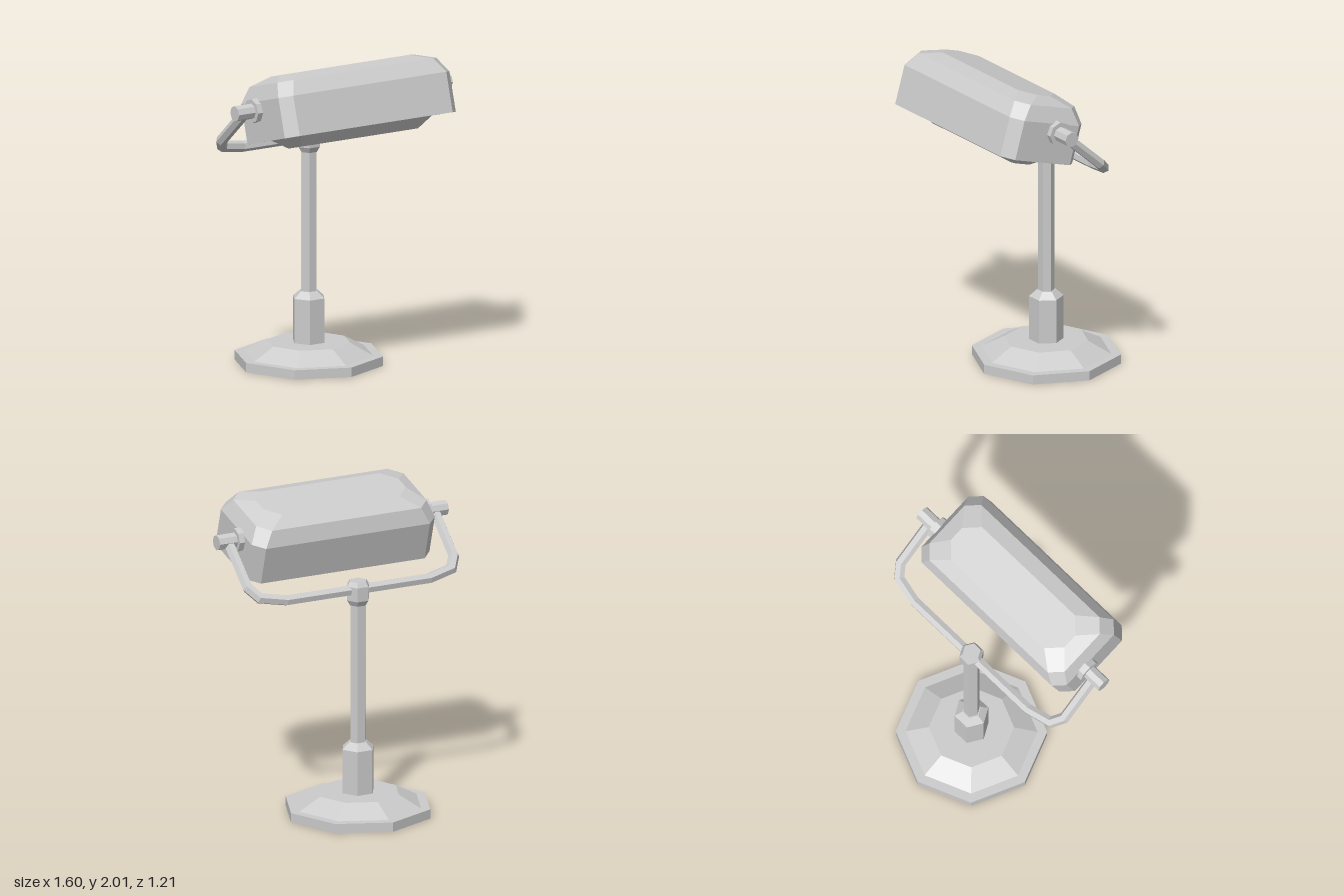
import * as THREE from 'three';

const material = new THREE.MeshStandardMaterial({ color: 0xcccccc, flatShading: true });

function add(parent, name, geometry) {
  const mesh = new THREE.Mesh(geometry, material);
  mesh.name = name;
  parent.add(mesh);
  return mesh;
}

// Skins a row of rings (counter-clockwise seen from the end of the row) and closes the chosen ends
function loft(rings, capStart, capEnd) {
  const pos = [];
  const tri = (...pts) => pts.forEach(p => pos.push(p.x, p.y, p.z));
  const n = rings[0].length;
  for (let k = 0; k < rings.length - 1; k++) {
    const lo = rings[k], hi = rings[k + 1];
    for (let i = 0; i < n; i++) {
      const j = (i + 1) % n;
      tri(lo[i], lo[j], hi[j]);
      tri(lo[i], hi[j], hi[i]);
    }
  }
  const first = rings[0], last = rings[rings.length - 1];
  for (let i = 1; i < n - 1; i++) {
    if (capStart) tri(first[0], first[i + 1], first[i]);
    if (capEnd) tri(last[0], last[i], last[i + 1]);
  }
  const g = new THREE.BufferGeometry();
  g.setAttribute('position', new THREE.Float32BufferAttribute(pos, 3));
  g.computeVertexNormals();
  return g;
}

// Horizontal rectangle with cut corners
function cutRect([hx, hz, c, y]) {
  return [
    [hx, hz - c], [hx, c - hz], [hx - c, -hz], [c - hx, -hz],
    [-hx, c - hz], [-hx, hz - c], [c - hx, hz], [hx - c, hz],
  ].map(([x, z]) => new THREE.Vector3(x, y, z));
}

// Bar with mitred bends along a path in the XY plane
function mitredBar(points, r, sides) {
  const path = points.map(([x, y]) => new THREE.Vector3(x, y, 0));
  const rings = path.map((p, k) => {
    const before = p.clone().sub(path[Math.max(k - 1, 0)]).normalize();
    const after = path[Math.min(k + 1, path.length - 1)].clone().sub(p).normalize();
    const dir = before.clone().add(after).normalize();
    const stretch = 1 / dir.dot(k ? before : after);
    return Array.from({ length: sides }, (_, i) => {
      const a = (i / sides) * Math.PI * 2;
      const m = r * Math.cos(a) * stretch;
      return new THREE.Vector3(p.x - dir.y * m, p.y + dir.x * m, r * Math.sin(a));
    });
  });
  return loft(rings, true, true);
}

function turned(profile, sides, phase = 0) {
  return new THREE.LatheGeometry(profile.map(([r, y]) => new THREE.Vector2(r, y)), sides, phase);
}

export function createModel() {
  const model = new THREE.Group();
  model.name = 'deskLamp';

  // Stand: octagonal foot and hexagonal column
  const stand = new THREE.Group();
  stand.name = 'stand';
  stand.position.z = -0.137;
  model.add(stand);
  add(stand, 'base', turned([[0, 0], [0.47, 0], [0.47, 0.06], [0.41, 0.06], [0.265, 0.137], [0, 0.137]], 8));
  const hex = Math.PI / 2;
  add(stand, 'socket', turned([[0.108, 0.13], [0.108, 0.42], [0.06, 0.462], [0, 0.462]], 6, hex));
  add(stand, 'pole', turned([[0.052, 0.45], [0.052, 1.37]], 6, hex));
  add(stand, 'poleCap', turned([[0, 1.35], [0.055, 1.35], [0.077, 1.385], [0.077, 1.475], [0.058, 1.505], [0, 1.505]], 6, hex));

  // Yoke leaning forward from the pole to the pivots
  const half = [[0.5, 0], [0.67, 0.043], [0.722, 0.13], [0.722, 0.475]];
  const mirrored = half.map(([x, y]) => [-x, y]).reverse();
  const yoke = add(model, 'yoke', mitredBar([...mirrored, ...half], 0.035, 6));
  yoke.position.set(0, 1.447, -0.137);
  yoke.rotation.x = 0.853;

  // Pivot washers and knobs on both sides
  for (const [side, s] of [['left', 1], ['right', -1]]) {
    for (const [part, r, x0, x1] of [['Washer', 0.077, 0.63, 0.678], ['Knob', 0.049, 0.64, 0.802]]) {
      const m = add(model, side + part, new THREE.CylinderGeometry(r, r, x1 - x0, 8));
      m.rotation.z = Math.PI / 2;
      m.position.set(s * (x0 + x1) / 2, 1.765, 0.225);
    }
  }

  // Tilted shade, origin at the middle of its opening
  const shade = new THREE.Group();
  shade.name = 'shade';
  shade.position.set(0, 1.589, 0.3365);
  shade.rotation.x = -0.282;
  model.add(shade);
  add(shade, 'shadeShell', loft([
    [0.617, 0.257, 0.06, 0.08],
    [0.617, 0.257, 0.06, 0],
    [0.642, 0.282, 0.068, 0],
    [0.642, 0.282, 0.068, 0.254],
    [0.597, 0.235, 0.075, 0.35],
    [0.5, 0.14, 0.09, 0.394],
  ].map(cutRect), false, true));

  // Faceted diffuser bulging out of the opening
  add(shade, 'diffuser', loft([
    [0.45, 0.075, 0.02, -0.065],
    [0.617, 0.257, 0.06, 0.08],
  ].map(cutRect), true, false));

  return model;
}
